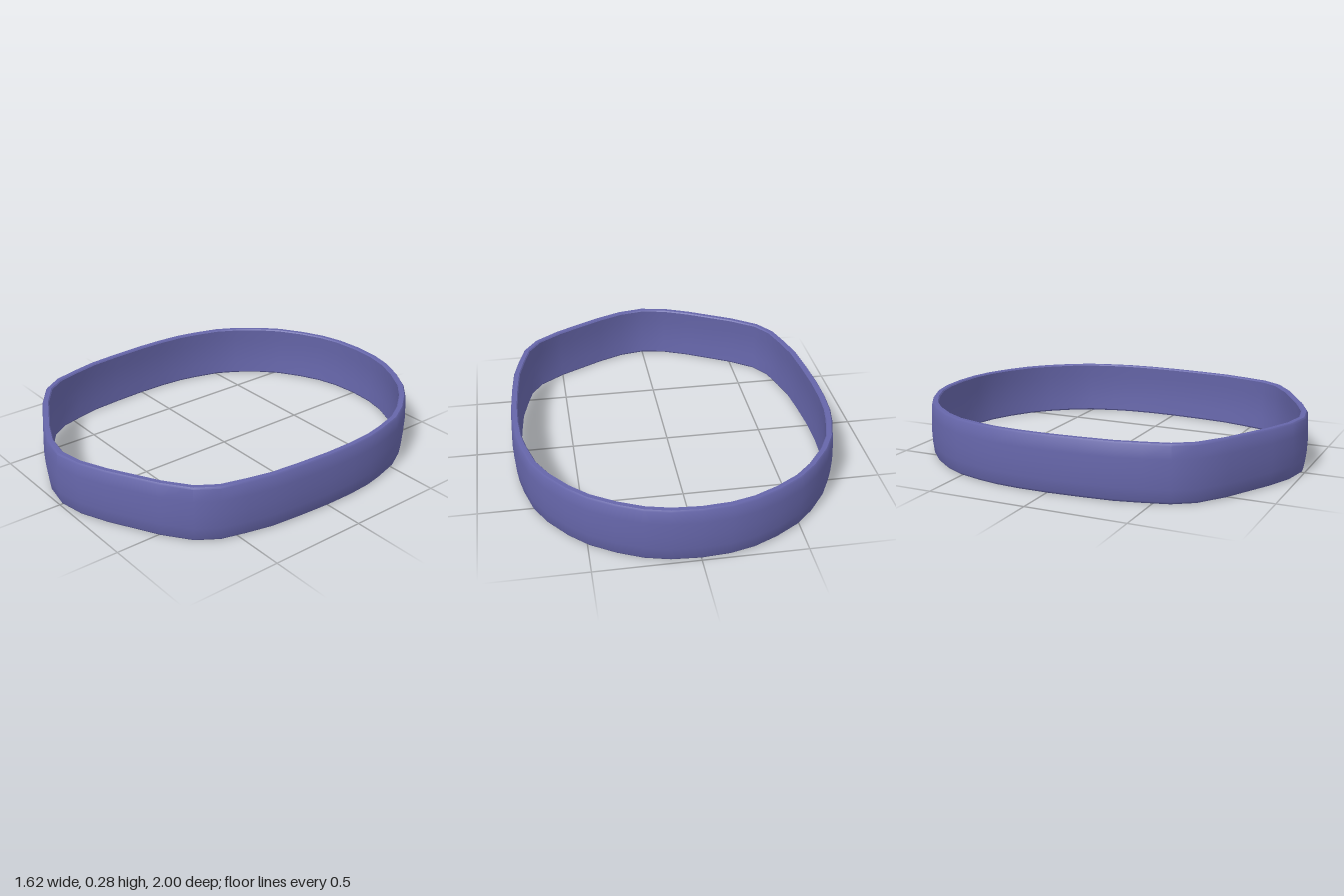
import * as THREE from 'three';
import { toCreasedNormals } from 'three/addons/utils/BufferGeometryUtils.js';

// Half of the band's outer outline (x, z), from the back centre to the front centre
const HALF = [
  [0, -1], [0.14, -0.99], [0.26, -0.96], [0.38, -0.905], [0.5, -0.83], [0.59, -0.745],
  [0.68, -0.63], [0.74, -0.52], [0.78, -0.38], [0.8, -0.28], [0.81, -0.15], [0.81, 0],
  [0.8, 0.17], [0.785, 0.33], [0.755, 0.46], [0.72, 0.585], [0.65, 0.69], [0.52, 0.785],
  [0.4, 0.85], [0.28, 0.915], [0.14, 0.975], [0, 1],
];

// Wall cross-section (inset from the outline, y): up the outside, down the inside
const SECTION = [
  [0.014, 0.004], [0.01, 0.012], [0.003, 0.07], [0, 0.14], [0.003, 0.21], [0.008, 0.272], [0.014, 0.28],
  [0.036, 0.28], [0.041, 0.274], [0.036, 0.21], [0.033, 0.14], [0.036, 0.07], [0.041, 0.008], [0.036, 0],
  [0.02, 0],
];

// Sweeps a closed cross-section around a closed outline
function sweepLoop(outline, section) {
  const n = outline.length, m = section.length;
  const positions = [], indices = [];
  for (let i = 0; i < n; i++) {
    const [px, pz] = outline[(i + n - 1) % n];
    const [qx, qz] = outline[(i + 1) % n];
    const length = Math.hypot(qx - px, qz - pz);
    const nx = (qz - pz) / length, nz = -(qx - px) / length;
    for (let j = 0; j < m; j++) {
      const [inset, y] = section[j];
      positions.push(outline[i][0] - nx * inset, y, outline[i][1] - nz * inset);
      const a = i * m + j, up = i * m + ((j + 1) % m);
      const next = ((i + 1) % n) * m;
      const b = next + j, bUp = next + ((j + 1) % m);
      indices.push(a, up, b, b, up, bUp);
    }
  }
  const geometry = new THREE.BufferGeometry();
  geometry.setAttribute('position', new THREE.Float32BufferAttribute(positions, 3));
  geometry.setIndex(indices);
  return toCreasedNormals(geometry, Math.PI / 5);
}

export function createModel() {
  const model = new THREE.Group();
  model.name = 'headband';

  // Mirror the half outline across x = 0
  const mirrored = HALF.slice(1, -1).reverse().map(([x, z]) => [-x, z]);
  const material = new THREE.MeshStandardMaterial({ color: 0x6666aa });
  const band = new THREE.Mesh(sweepLoop([...HALF, ...mirrored], SECTION), material);
  band.name = 'band';
  model.add(band);
  return model;
}
